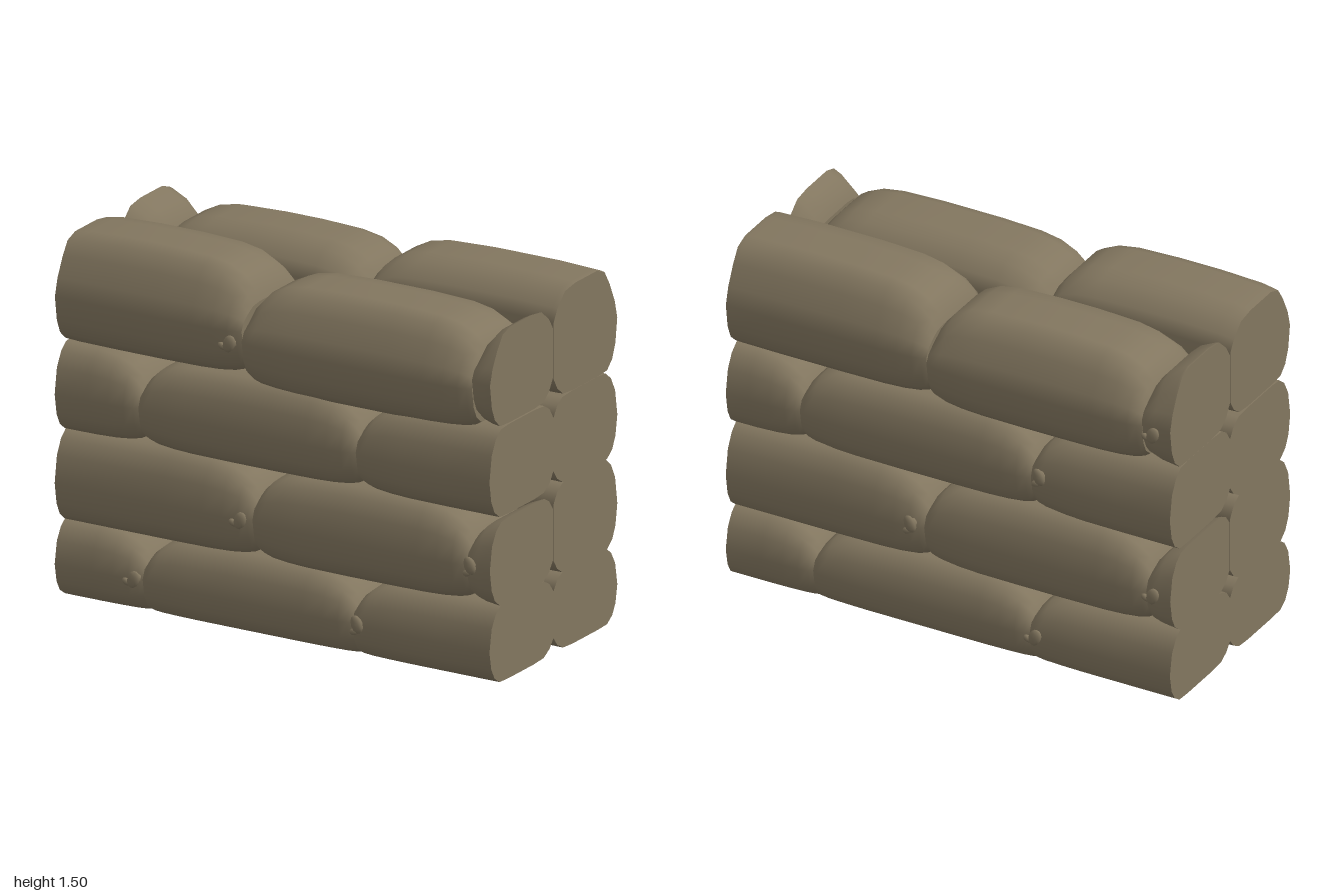
import * as THREE from 'three';

// Cross-section halves: [depth from the middle seam to the outside, height], both 0..1
const FLAT_TOP = [[0, 0.8], [0.06, 0.92], [0.14, 0.985], [0.3, 1], [0.7, 1], [0.82, 0.985], [0.9, 0.9], [0.965, 0.74]];
const ROUND_TOP = [[0, 0.72], [0.06, 0.84], [0.18, 0.97], [0.34, 1], [0.68, 1], [0.8, 0.95], [0.88, 0.81], [0.96, 0.62]];
const BOTTOM = [[1, 0.45], [0.97, 0.22], [0.92, 0.09], [0.84, 0.01], [0.7, 0], [0.3, 0], [0.15, 0.015], [0.06, 0.09], [0, 0.2]];

// How a bag narrows towards its end: [distance from end, height scale, depth scale]
const TAPER = [[0, 0.3, 0.9], [0.02, 0.52, 0.945], [0.06, 0.73, 0.975], [0.13, 0.89, 0.99], [0.22, 0.965, 1], [0.4, 1, 1]];
const DEPTH = 0.478;

function taper(d) {
  for (let i = 1; i < TAPER.length; i++) {
    const p = TAPER[i - 1], q = TAPER[i];
    if (d <= q[0]) {
      const t = (d - p[0]) / (q[0] - p[0]);
      return [p[1] + (q[1] - p[1]) * t, p[2] + (q[2] - p[2]) * t];
    }
  }
  return [1, 1];
}

// Lofted bag from x = a to b, cut off flat at x = -1 and 1
function bagGeometry(a, b, y0, y1, top, lift) {
  const profile = [...top, ...BOTTOM], n = profile.length;
  const xs = [...new Set([-1, 1, ...TAPER.flatMap(([d]) => [a + d, b - d])].map(x => +x.toFixed(4)))]
    .filter(x => x >= Math.max(-1, a) - 1e-4 && x <= Math.min(1, b) + 1e-4)
    .sort((p, q) => p - q);
  const pos = [], idx = [];
  const ring = x => {
    const [sy, sz] = taper(Math.max(0, Math.min(x - a, b - x)));
    for (const [u, v] of profile) {
      const s = v > 0.5 ? sy : 1 - (1 - sy) * lift;
      pos.push(x, y0 + (y1 - y0) * (0.5 + (v - 0.5) * s), DEPTH * (0.5 + (u - 0.5) * sz));
    }
  };
  xs.forEach((x, i) => {
    ring(x);
    if (!i) return;
    for (let j = 0; j < n; j++) {
      const k = (j + 1) % n, p = (i - 1) * n, q = i * n;
      idx.push(p + j, p + k, q + j, p + k, q + k, q + j);
    }
  });
  // flat end faces with their own corners
  [xs[0], xs[xs.length - 1]].forEach((x, e) => {
    const s = pos.length / 3;
    ring(x);
    pos.push(x, (y0 + y1) / 2, DEPTH / 2);
    for (let j = 0; j < n; j++) {
      const k = (j + 1) % n;
      if (e) idx.push(s + n, s + j, s + k);
      else idx.push(s + n, s + k, s + j);
    }
  });
  const g = new THREE.BufferGeometry();
  g.setAttribute('position', new THREE.Float32BufferAttribute(pos, 3));
  g.setIndex(idx);
  g.computeVertexNormals();
  return g;
}

// Tied corner of a bag: a short neck, a lumpy bunch and a loose tail
function knot(x, y, material, tilt) {
  const g = new THREE.Group();
  g.name = 'tiedCorner';
  const add = (geometry, name, px, py, pz) => {
    const m = new THREE.Mesh(geometry, material);
    m.name = name;
    m.position.set(px, py, pz);
    g.add(m);
  };
  add(new THREE.CylinderGeometry(0.02, 0.026, 0.04, 8).rotateX(Math.PI / 2), 'neck', 0, 0, -0.008);
  add(new THREE.SphereGeometry(1, 9, 6).scale(0.027, 0.038, 0.014), 'bunch', 0.004, 0.004, 0.01);
  add(new THREE.SphereGeometry(1, 8, 5).scale(0.022, 0.014, 0.011), 'tail', -0.02, -0.022, 0.008);
  g.position.set(x, y, 0.474);
  g.rotation.z = tilt;
  return g;
}

// One row of stacked bags, facing +z; each bag is [start, end, bottom, top]
function column(name, layers, knots, material) {
  const g = new THREE.Group();
  g.name = name;
  layers.forEach((bags, level) => {
    const top = level === 3 ? ROUND_TOP : FLAT_TOP;
    bags.forEach(([a, b, y0, y1]) => {
      const m = new THREE.Mesh(bagGeometry(a, b, y0, y1, top, level ? 0.25 : 0.03), material);
      m.name = 'sandbag';
      g.add(m);
    });
  });
  knots.forEach(([x, y], i) => g.add(knot(x, y, material, i % 2 ? 0.35 : -0.4)));
  return g;
}

// Three bags in a layer, split at two joints
const layer = (j1, j2, y0, y1) => [[j1 - 1.4, j1, y0, y1], [j1, j2, y0, y1], [j2, j2 + 1.4, y0, y1]];

export function createModel() {
  const burlap = new THREE.MeshStandardMaterial({ color: 0x82765f });
  burlap.name = 'burlap';
  const model = new THREE.Group();
  model.name = 'sandbagWall';

  const front = column('frontRow', [
    layer(-0.61, 0.355, 0, 0.325),
    layer(-0.105, 0.88, 0.31, 0.695),
    layer(-0.63, 0.37, 0.685, 1.055),
    [[-1.15, -0.155, 1.055, 1.505], [-0.155, 0.905, 1.02, 1.455], [0.905, 2.2, 1.05, 1.5]],
  ], [[-0.64, 0.15], [0.39, 0.15], [-0.15, 0.485], [0.91, 0.49], [-0.2, 1.21]], burlap);

  // the back row is the same stack turned round, with slightly other joints
  const back = column('backRow', [
    layer(-0.62, 0.355, 0, 0.325),
    layer(-0.12, 0.88, 0.31, 0.695),
    layer(-0.68, 0.36, 0.685, 1.055),
    [[-1.2, -0.11, 1.05, 1.505], [-0.11, 0.86, 1.03, 1.475], [0.86, 2.2, 1.05, 1.5]],
  ], [[0.39, 0.15], [-0.17, 0.5], [0.92, 0.49], [0.41, 0.88], [0.92, 1.22]], burlap);
  back.rotation.y = Math.PI;

  model.add(front, back);
  return model;
}
